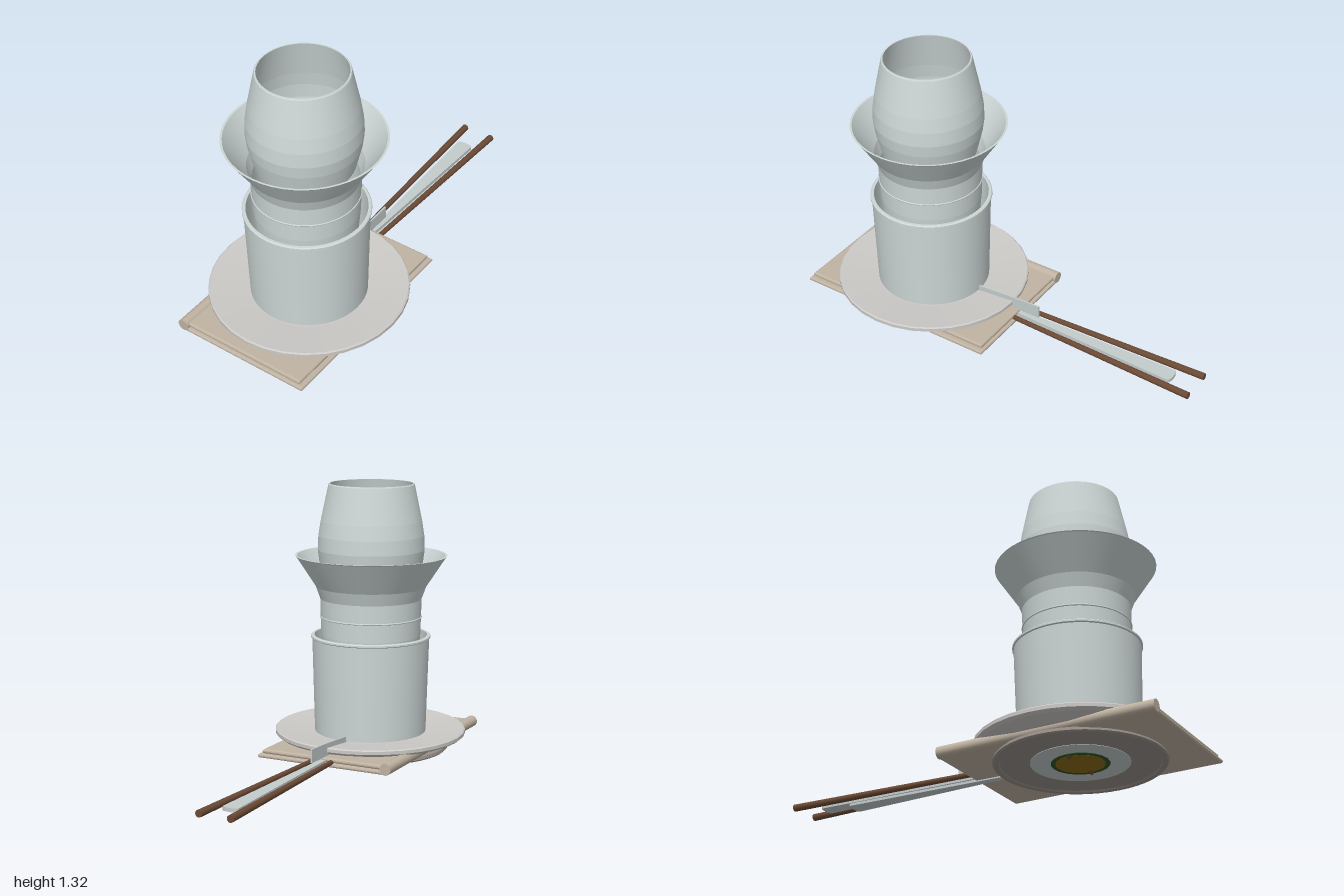
import * as THREE from 'three';

const mat = (color) => new THREE.MeshStandardMaterial({ color, side: THREE.DoubleSide });
const CZ = 0.48; // shared axis of the round ware

export function createModel() {
  const group = new THREE.Group();
  const ware = mat(0xcdd6d6), china = mat(0xcccac7), cloth = mat(0xc0b3a2);
  const wood = mat(0x6b4a35), steel = mat(0xc4cccc), foot = mat(0x99908a);

  const add = (name, geometry, material, x = 0, y = 0, z = 0) => {
    const mesh = new THREE.Mesh(geometry, material);
    mesh.name = name;
    mesh.position.set(x, y, z);
    group.add(mesh);
    return mesh;
  };

  // Turned part; each profile segment is its own band so corners stay crisp
  const turn = (name, profile, material, segments = 48) => {
    const part = new THREE.Group();
    part.name = name;
    part.position.z = CZ;
    for (let i = 1; i < profile.length; i++) {
      const pts = [profile[i - 1], profile[i]].map(([r, y]) => new THREE.Vector2(r, y));
      part.add(new THREE.Mesh(new THREE.LatheGeometry(pts, segments), material));
    }
    group.add(part);
    return part;
  };

  // Tapered flat bar along z, with half widths at its back and front ends
  const bar = (name, z0, z1, w0, w1, y, h, material) => {
    const shape = new THREE.Shape();
    shape.moveTo(-w1, -z1);
    shape.lineTo(w1, -z1);
    shape.lineTo(w0, -z0 - w0 * 0.3);
    shape.quadraticCurveTo(w0 * 0.8, -z0, 0, -z0);
    shape.quadraticCurveTo(-w0 * 0.8, -z0, -w0, -z0 - w0 * 0.3);
    shape.closePath();
    const g = new THREE.ExtrudeGeometry(shape, { depth: h, bevelEnabled: false });
    g.rotateX(-Math.PI / 2);
    return add(name, g, material, 0, y, 0);
  };

  // Folded napkin: two soft-edged layers and a rolled side
  const layer = (name, x0, x1, z0, z1, y, h) => {
    const b = h / 2 - 0.001;
    const s = new THREE.Shape();
    s.moveTo(x0 + b, -z1 + b);
    s.lineTo(x1 - b, -z1 + b);
    s.lineTo(x1 - b, -z0 - b);
    s.lineTo(x0 + b, -z0 - b);
    s.closePath();
    const g = new THREE.ExtrudeGeometry(s, {
      depth: h - 2 * b, bevelThickness: b, bevelSize: b, bevelSegments: 3,
    });
    g.rotateX(-Math.PI / 2);
    add(name, g, cloth, 0, y + b, 0);
  };
  layer('napkinLower', -0.33, 0.345, -0.04, 1.0, 0.034, 0.02);
  layer('napkinUpper', -0.33, 0.325, -0.028, 0.988, 0.054, 0.022);
  const roll = add('napkinRoll', new THREE.CylinderGeometry(0.028, 0.028, 1.04, 20), cloth, -0.33, 0.062, 0.48);
  roll.rotation.x = Math.PI / 2;

  // Round base beneath the napkin
  turn('baseDish', [[0, 0.024], [0.35, 0.024], [0.355, 0.017], [0.378, 0.017], [0.385, 0.024],
    [0.382, 0.038], [0, 0.038]], foot);
  turn('baseInset', [[0, 0.022], [0.22, 0.022], [0.22, 0.03]], steel);
  turn('baseGarnishRim', [[0.105, 0.019], [0.13, 0.019], [0.13, 0.028]], mat(0x2f5420), 20);
  turn('baseGarnish', [[0, 0.018], [0.11, 0.018], [0.11, 0.026]], mat(0x8a6a18), 20);
  for (const side of [-1, 1]) {
    const nub = add('baseNub', new THREE.ConeGeometry(0.017, 0.02, 8), mat(0x6b5030), side * 0.105, 0.01, CZ);
    nub.rotation.x = Math.PI;
  }

  // Wide shallow plate
  turn('plate', [[0, 0.066], [0.38, 0.066], [0.455, 0.08], [0.47, 0.092], [0.47, 0.108], [0.464, 0.113],
    [0.28, 0.096], [0, 0.09]], china, 32);

  // Large beaker with a rolled lip
  turn('beaker', [[0, 0.1], [0.274, 0.1], [0.287, 0.564], [0.293, 0.568], [0.293, 0.576], [0.288, 0.58],
    [0.276, 0.58], [0.262, 0.125], [0, 0.125]], ware);

  // Flared cup standing inside the beaker
  turn('flaredCup', [[0, 0.126], [0.2, 0.126], [0.243, 0.58], [0.248, 0.76], [0.27, 0.82], [0.366, 0.967],
    [0.37, 0.972], [0.36, 0.972], [0.262, 0.825], [0.24, 0.76], [0.234, 0.58], [0.192, 0.14], [0, 0.14]], ware);
  const band = add('cupBand', new THREE.TorusGeometry(0.246, 0.004, 8, 48), ware, 0, 0.67, CZ);
  band.rotation.x = Math.PI / 2;

  // Tumbler nested in the flared cup
  turn('tumbler', [[0, 0.72], [0.155, 0.72], [0.225, 0.83], [0.252, 0.94], [0.26, 1.0], [0.257, 1.07], [0.246, 1.14],
    [0.209, 1.315], [0.206, 1.32], [0.2, 1.32], [0.238, 1.14], [0.249, 1.07], [0.252, 1.0],
    [0.244, 0.94], [0.217, 0.84], [0.155, 0.735], [0, 0.735]], ware);

  // Pair of tapering chopsticks tucked into the napkin
  for (const side of [-1, 1]) {
    const a = new THREE.Vector3(side * 0.078, 0.06, -1), b = new THREE.Vector3(side * 0.02, 0.055, 0.7);
    const dir = b.clone().sub(a);
    const stick = add('chopstick', new THREE.CylinderGeometry(0.008, 0.017, dir.length(), 12), wood);
    stick.position.copy(a).add(b).multiplyScalar(0.5);
    stick.quaternion.setFromUnitVectors(new THREE.Vector3(0, 1, 0), dir.normalize());
  }

  // Cutlery lying between the chopsticks, with an upright blade
  bar('cutleryHandle', -0.88, 0.12, 0.04, 0.01, 0.046, 0.018, steel);
  bar('lowerHandle', -0.72, 0.1, 0.045, 0.015, 0.028, 0.012, steel);
  const blade = new THREE.Shape();
  blade.moveTo(0.14, 0.076);
  blade.lineTo(0.14, 0.142);
  blade.lineTo(0.02, 0.138);
  blade.lineTo(-0.22, 0.122);
  blade.lineTo(-0.22, 0.076);
  blade.closePath();
  const bladeGeo = new THREE.ExtrudeGeometry(blade, { depth: 0.008, bevelEnabled: false });
  bladeGeo.translate(0, 0, -0.004);
  bladeGeo.rotateY(Math.PI / 2);
  add('blade', bladeGeo, steel);

  return group;
}
